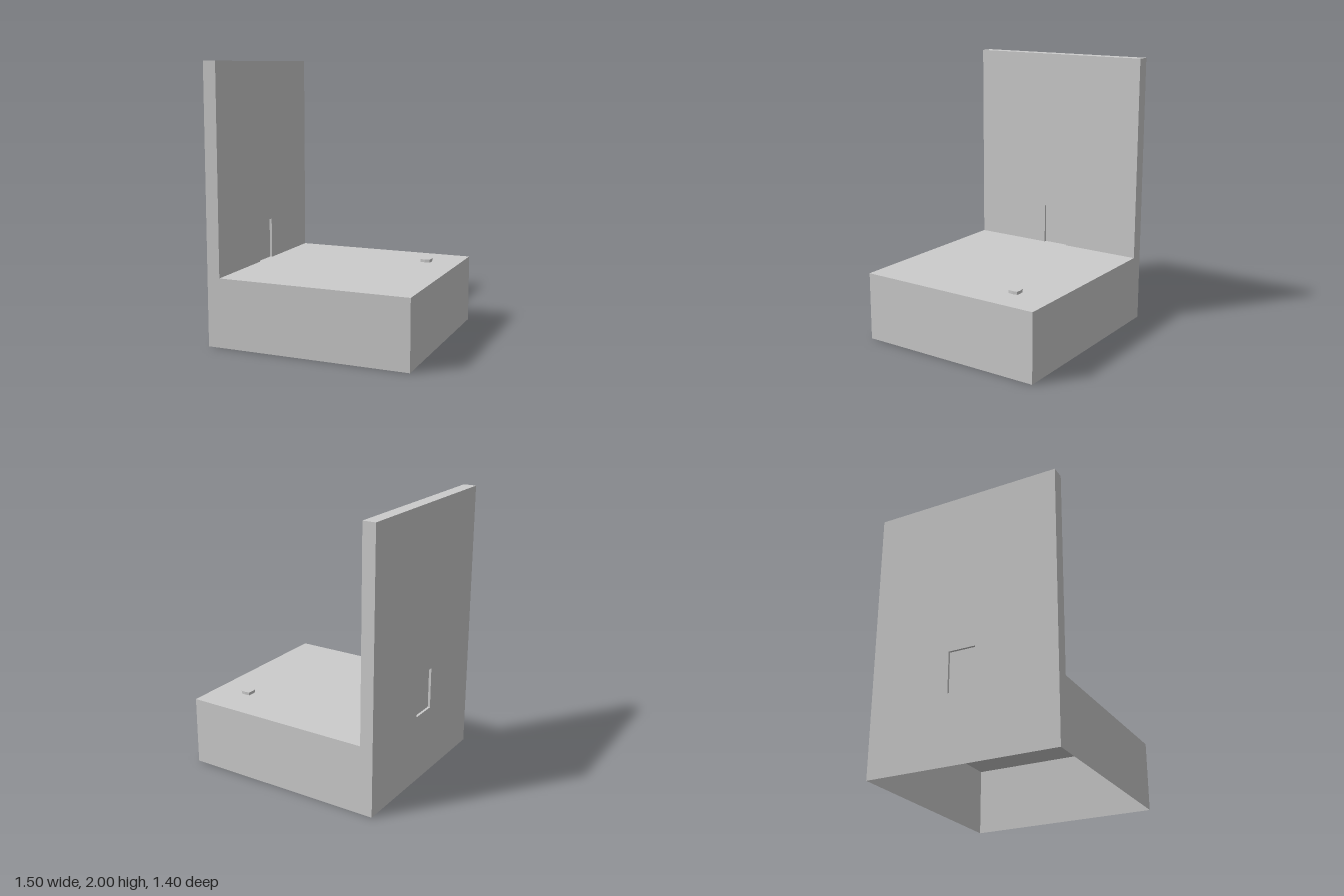
import * as THREE from 'three';

const grey = new THREE.MeshStandardMaterial({ color: 0xcccccc, flatShading: true });
const greyThin = new THREE.MeshStandardMaterial({ color: 0xcccccc, flatShading: true, side: THREE.DoubleSide });

function part(name, geometry, material, x, y, z) {
  const mesh = new THREE.Mesh(geometry, material);
  mesh.name = name;
  mesh.position.set(x, y, z);
  return mesh;
}

// Box shell without its bottom face
function openBox(w, h, d) {
  const geometry = new THREE.BoxGeometry(w, h, d);
  const index = Array.from(geometry.index.array);
  index.splice(18, 6);
  geometry.setIndex(index);
  geometry.clearGroups();
  return geometry;
}

export function createModel() {
  const model = new THREE.Group();
  model.name = 'platformWithWall';

  const baseH = 0.5, depth = 1.4, wallH = 1.5, wallT = 0.095;
  const doorW = 0.2, doorH = 0.3, recess = 0.018;
  const wallX = -0.75 + wallT / 2;

  // Hollow base, open underneath
  model.add(part('base', openBox(1.5, baseH, depth), greyThin, 0, baseH / 2, 0));

  // Wall with a doorway cut up from its lower edge
  const outline = new THREE.Shape([
    [-depth / 2, 0], [-doorW / 2, 0], [-doorW / 2, doorH], [doorW / 2, doorH],
    [doorW / 2, 0], [depth / 2, 0], [depth / 2, wallH], [-depth / 2, wallH],
  ].map(([a, b]) => new THREE.Vector2(a, b)));
  const wall = new THREE.ExtrudeGeometry(outline, { depth: wallT, bevelEnabled: false });
  wall.translate(0, 0, -wallT / 2).rotateY(Math.PI / 2);
  model.add(part('wall', wall, grey, wallX, baseH, 0));

  // Door panel, set back slightly from both wall faces
  const door = new THREE.BoxGeometry(wallT - 2 * recess, doorH, doorW);
  model.add(part('door', door, grey, wallX, baseH + doorH / 2, 0));

  // Small button with slightly bulging sides
  const points = [];
  for (let i = 0; i < 8; i++) {
    const angle = (i * Math.PI) / 4;
    const r = i % 2 ? 0.049 : 0.038;
    points.push(new THREE.Vector2(r * Math.cos(angle), r * Math.sin(angle)));
  }
  const button = new THREE.ExtrudeGeometry(new THREE.Shape(points), { depth: 0.022, bevelEnabled: false });
  button.rotateX(-Math.PI / 2);
  model.add(part('button', button, grey, 0.5, baseH, -0.4));

  return model;
}
